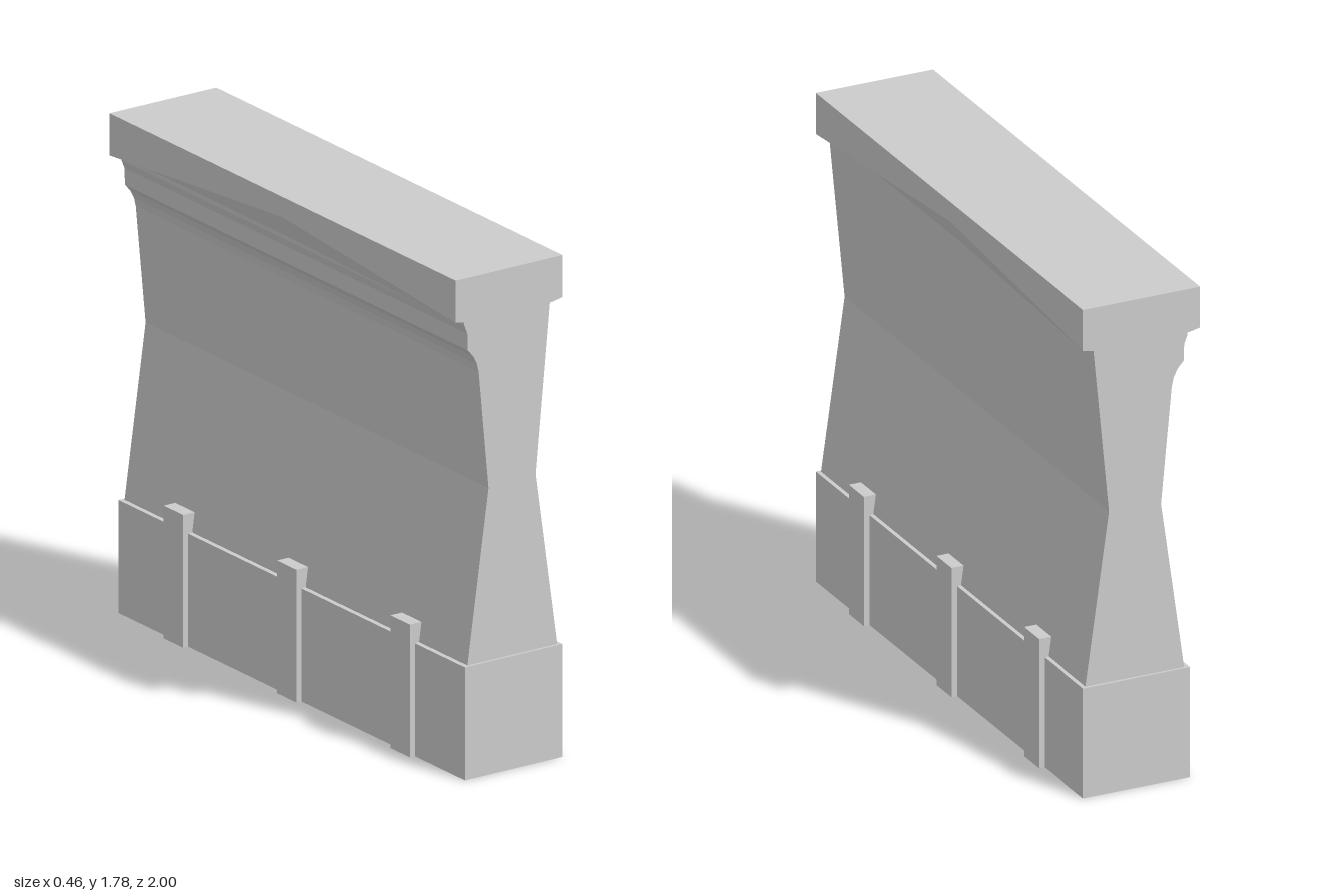
import * as THREE from 'three';

const material = new THREE.MeshStandardMaterial({ color: 0xcccccc, flatShading: true });

// Extrudes an x/y profile along z, centred on z = 0
function extrudeProfile(points, length, steps = 1) {
  const shape = new THREE.Shape(points.map(([x, y]) => new THREE.Vector2(x, y)));
  const geometry = new THREE.ExtrudeGeometry(shape, { depth: length, steps, bevelEnabled: false });
  return geometry.translate(0, 0, -length / 2);
}

export function createModel() {
  const group = new THREE.Group();

  function add(name, geometry) {
    const mesh = new THREE.Mesh(geometry, material);
    mesh.name = name;
    group.add(mesh);
    return mesh;
  }

  function addBox(name, x0, x1, height, depth, z = 0) {
    const mesh = add(name, new THREE.BoxGeometry(x1 - x0, height, depth));
    mesh.position.set((x0 + x1) / 2, height / 2, z);
  }

  // Plinth
  addBox('base', -0.193, 0.205, 0.4, 2);

  // Buttress posts showing on both sides of the plinth
  for (const z of [-0.655, 0, 0.655]) addBox('post', -0.213, 0.226, 0.47, 0.112, z);

  // Waisted wall with a stepped moulding under the cap on the -x side
  add('wall', extrudeProfile([
    [-0.175, 0.395], [0.19, 0.395], [0.19, 0.405], [0.103, 1.02], [0.162, 1.63],
    [-0.19, 1.63], [-0.188, 1.605], [-0.176, 1.575], [-0.174, 1.515],
    [-0.152, 1.49], [-0.137, 1.46], [-0.13, 1.43], [-0.09, 1.01], [-0.175, 0.405],
  ], 1.98));

  // Cap whose lower outer edges rise to a shallow peak at mid length
  const edgeY = 1.628;
  const cap = extrudeProfile([
    [-0.23, edgeY], [-0.19, 1.62], [0.162, 1.62], [0.205, edgeY], [0.205, 1.777], [-0.23, 1.777],
  ], 2, 2);
  const position = cap.attributes.position;
  for (let i = 0; i < position.count; i++) {
    const atMiddle = Math.abs(position.getZ(i)) < 0.01;
    if (atMiddle && Math.abs(position.getY(i) - edgeY) < 0.002) position.setY(i, 1.705);
  }
  cap.computeVertexNormals();
  add('cap', cap);

  return group;
}
